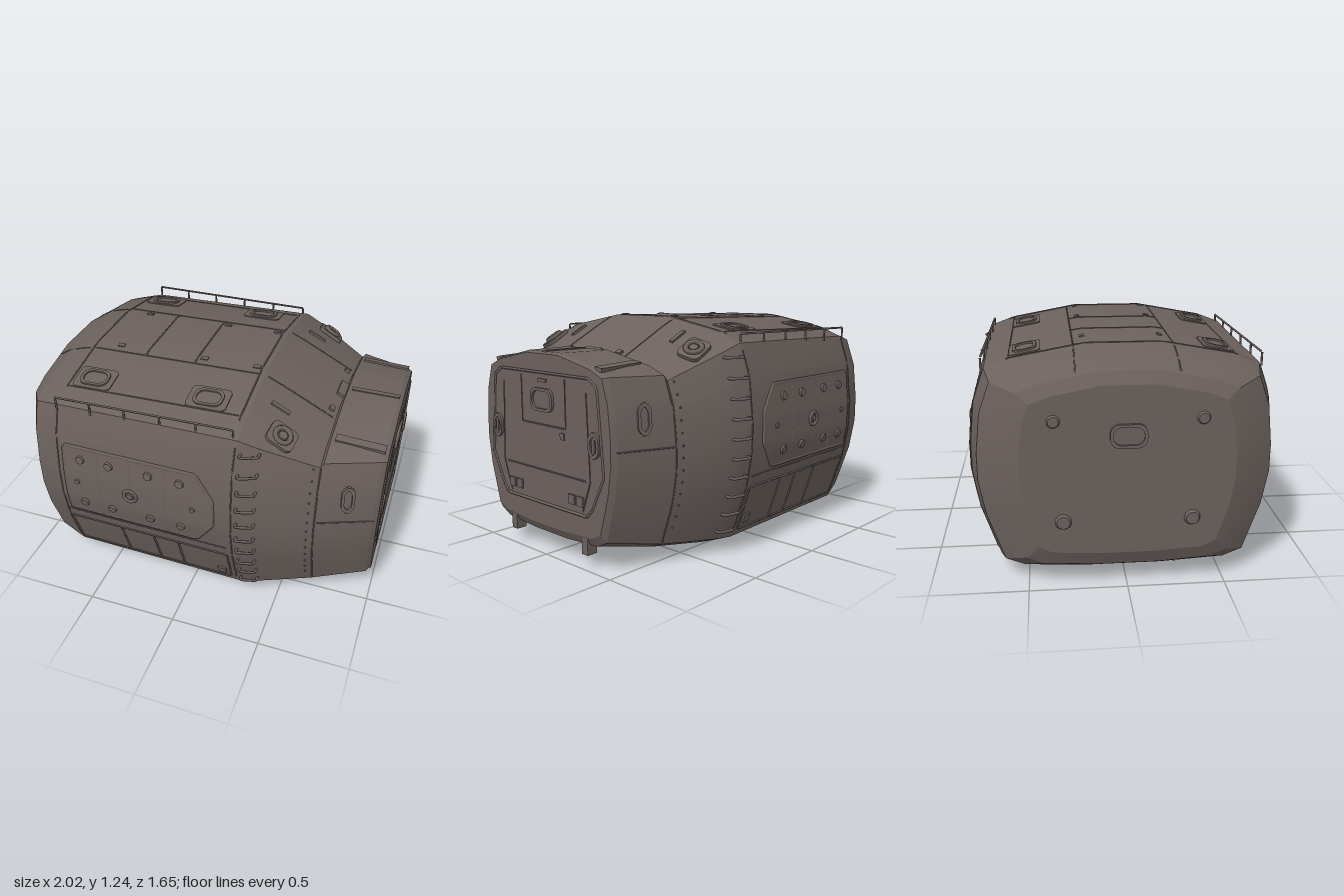
import * as THREE from 'three';
import { toCreasedNormals } from 'three/addons/utils/BufferGeometryUtils.js';

const V = (x, y, z) => new THREE.Vector3(x, y, z);

export function createModel() {
  const root = new THREE.Group();
  root.name = 'armouredCabin';
  const paint = new THREE.MeshStandardMaterial({ color: 0x6b615d });
  paint.name = 'brownGreyPaint';
  const add = (geo, name) => {
    const m = new THREE.Mesh(geo, paint);
    m.name = name;
    root.add(m);
    return m;
  };

  // Hull: one half outline [z, y] scaled along x: [x, half width, bottom, top]
  const half = [[.2, .01], [.56, .03], [.67, .075], [.765, .36], [.8, .56], [.8, .72],
    [.775, .95], [.715, 1.12], [.58, 1.17], [.2, 1.24]];
  const loop = [...half, ...half.map(([z, y]) => [-z, y]).reverse()];
  const stations = [[-1, .53, .2, 1.07], [-.965, .6, .12, 1.13], [-.88, .735, .07, 1.175],
    [-.73, .775, .02, 1.215], [.28, .793, .01, 1.235], [.38, .768, .02, 1.19],
    [.675, .645, .055, 1.045], [.69, .64, .058, 1.075], [.965, .53, .115, 1.075], [.99, .51, .16, 1.065]];
  const rings = stations.map(([x, w, lo, hi]) =>
    loop.map(([z, y]) => V(x, lo + (y - .01) / 1.23 * (hi - lo), z / .8 * w)));
  const pts = [];
  const n = loop.length;
  const last = rings.length - 1;
  for (let j = 0; j < n; j++) {
    const k = (j + 1) % n;
    for (let i = 0; i < last; i++) {
      const [a, b, c, d] = [rings[i][j], rings[i][k], rings[i + 1][k], rings[i + 1][j]];
      pts.push(a, d, c, a, c, b);
    }
    pts.push(V(-1, .63, 0), rings[0][j], rings[0][k]);
    pts.push(V(.99, .6, 0), rings[last][k], rings[last][j]);
  }
  const hull = add(toCreasedNormals(new THREE.BufferGeometry().setFromPoints(pts), .25), 'hull');

  // Find the hull surface by looking inward along an axis
  const ray = new THREE.Raycaster();
  const hit = (axis, s, u, v) => {
    const o = axis === 'z' ? V(u, v, 3 * s) : axis === 'y' ? V(u, 3 * s, v) : V(3 * s, v, u);
    const d = V(0, 0, 0);
    d[axis] = -s;
    ray.set(o, d);
    const h = ray.intersectObject(hull)[0];
    return { p: h.point, n: h.face.normal.clone() };
  };
  // Place a part on the hull with its own z pointing outward
  const place = (geo, name, axis, s, u, v) => {
    const { p, n: out } = hit(axis, s, u, v);
    const side = (axis === 'y' ? V(0, 0, 1) : V(0, 1, 0)).cross(out).normalize();
    const m = add(geo, name);
    m.quaternion.setFromRotationMatrix(new THREE.Matrix4().makeBasis(side, out.clone().cross(side), out));
    m.position.copy(p);
    return m;
  };
  const box = (w, h, d) => new THREE.BoxGeometry(w, h, d);
  const tube = (points, r, name) => {
    const path = new THREE.CurvePath();
    for (let i = 1; i < points.length; i++) path.add(new THREE.LineCurve3(points[i - 1], points[i]));
    return add(new THREE.TubeGeometry(path, points.length * 3, r, 5), name);
  };
  // Raised joint lines that follow the hull
  const seam = (axis, s, line, r = .004, name = 'panelSeam') => {
    const out = [];
    for (let i = 1; i < line.length; i++) {
      const [a, b] = [line[i - 1], line[i]];
      const steps = Math.max(2, Math.ceil(Math.hypot(b[0] - a[0], b[1] - a[1]) / .06));
      for (let k = i === 1 ? 0 : 1; k <= steps; k++) {
        const t = k / steps;
        out.push(hit(axis, s, a[0] + (b[0] - a[0]) * t, a[1] + (b[1] - a[1]) * t).p);
      }
    }
    tube(out, r, name);
  };

  // Rounded window: pad, frame with opening and a set-back pane
  const rounded = (w, h, r, Kind = THREE.Shape) => {
    const p = new Kind();
    [[1, 1, 0], [-1, 1, 1], [-1, -1, 2], [1, -1, 3]].forEach(([a, b, q]) =>
      p.absarc(a * (w / 2 - r), b * (h / 2 - r), r, q * Math.PI / 2, (q + 1) * Math.PI / 2));
    p.closePath();
    return p;
  };
  const extrude = (shape, depth) => new THREE.ExtrudeGeometry(shape, { depth, bevelEnabled: false, curveSegments: 5 });
  const windowAt = (axis, s, u, v, w, h, name, pad = true) => {
    const frame = rounded(w + .03, h + .03, .045);
    frame.holes.push(rounded(w, h, .04, THREE.Path));
    place(extrude(frame, .015), name + 'Frame', axis, s, u, v);
    place(extrude(rounded(w, h, .04), .003), name + 'Pane', axis, s, u, v);
    if (pad) place(extrude(rounded(w + .09, h + .07, .03), .006), name + 'Pad', axis, s, u, v);
  };
  const stud = (r, d) => new THREE.CylinderGeometry(r * .65, r, d, 14).rotateX(Math.PI / 2);

  // Roof and floor: windows and joints
  for (const s of [1, -1]) {
    for (const z of [-.49, .49]) for (const x of [-.6, .05]) windowAt('y', s, x, z, .13, .09, s > 0 ? 'roofWindow' : 'floorHatch');
    for (const z of [-.25, .25]) seam('y', s, [[-.95, z], [.66, z]]);
    for (const z of [-.57, .57]) seam('y', s, [[-.72, z], [.24, z]]);
    for (const x of [-.41, -.12]) seam('y', s, [[x, -.25], [x, .25]]);
    seam('y', s, [[.25, -.6], [.25, .6]]);
    seam('y', s, [[-.73, -.58], [-.73, .58]]);
    for (const z of [-.2, .2]) for (const x of [-.58, -.08, .22]) place(box(.04, .025, .012), 'roofLatch', 'y', s, x, z);
  }
  place(box(.045, .13, .03), 'roofHinge', 'y', 1, .655, 0);

  for (const s of [1, -1]) {
    // Riveted side panel laid over the bulging wall
    const left = -.69, lo = .45, hi = .89;
    const right = y => .17 - Math.max(0, Math.abs(y - .67) - .08) * .7;
    const geo = new THREE.PlaneGeometry(1, 1, 10, 12);
    const pos = geo.attributes.position;
    for (let i = 0; i < pos.count; i++) {
      const y = lo + (pos.getY(i) + .5) * (hi - lo);
      const t = (pos.getX(i) + .5);
      const h = hit('z', s, left + (s > 0 ? t : 1 - t) * (right(y) - left), y);
      h.p.addScaledVector(h.n, .009);
      pos.setXYZ(i, h.p.x, h.p.y, h.p.z);
    }
    geo.computeVertexNormals();
    add(geo, 'sidePanel');
    seam('z', s, [[left, lo], [right(lo), lo], [.17, .59], [.17, .75], [right(hi), hi], [left, hi], [left, lo]], .012, 'sidePanelRim');
    for (const x of [-.49, -.3, -.1]) seam('z', s, [[x, lo], [x, hi]], .0115);
    for (const x of [-.59, -.42, -.19, -.01]) for (const y of [.53, .82]) place(stud(.034, .04), 'panelStud', 'z', s, x, y);
    for (const x of [-.62, .06]) place(stud(.022, .034), 'panelStud', 'z', s, x, .67);
    place(stud(.026, .04), 'panelHub', 'z', s, -.3, .66);
    place(new THREE.TorusGeometry(.036, .01, 6, 18), 'panelHubRing', 'z', s, -.3, .66).translateZ(.012);

    // Lower wall panels and upright joints
    seam('z', s, [[-.72, .36], [.24, .36], [.24, .11], [-.72, .11], [-.72, .36]], .006);
    seam('z', s, [[-.72, .42], [.24, .42]]);
    for (const x of [-.4, -.2, -.05]) seam('z', s, [[x, .11], [x, .36]], .006);
    for (const x of [-.73, .27, .68]) seam('z', s, [[x, .12], [x, x > .6 ? .95 : 1.08]]);
    seam('z', s, [[.69, .63], [.97, .63]]);
    place(box(.05, .05, .02), 'lowerLatch', 'z', s, .19, .17);
    for (let i = 0; i < 13; i++) place(stud(.007, .012), 'rivet', 'z', s, .645, .2 + i * .062);

    // Ladder rungs
    for (let i = 0; i < 10; i++) {
      const y = .13 + i * .102;
      const a = hit('z', s, .3, y).p, b = hit('z', s, .39, y).p;
      const out = V(0, 0, s * .03);
      tube([a, a.clone().add(out), b.clone().add(out), b], .008, 'ladderRung');
    }

    // Roof-edge handrail
    tube([V(-.73, 1.15, s * .705), V(.25, 1.16, s * .69)], .006, 'handrail');
    for (let i = 0; i < 6; i++) {
      const x = -.73 + i * .196;
      const z = s * (.705 - i * .003);
      tube([V(x, 1.08, z), V(x, 1.15 + i * .002, z)], .006, 'handrailPost');
    }

    // Sloping roof: lamps and hooks
    place(extrude(rounded(.15, .13, .03), .02), 'lampBase', 'y', 1, .46, s * .56);
    place(new THREE.TorusGeometry(.042, .014, 6, 18), 'lampRing', 'y', 1, .46, s * .56).translateZ(.026);
    place(stud(.035, .03), 'lampLens', 'y', 1, .46, s * .56).translateZ(.015);
    place(box(.11, .022, .022), 'roofHook', 'y', 1, .41, s * .4);
    place(box(.03, .03, .03), 'roofHook', 'y', 1, .64, s * .2);

    // Nose: side slot, roof pads, door handles, steps and tow brackets
    windowAt('z', s, .83, .78, .04, .13, 'noseSlot', false);
    place(box(.26, .045, .02), 'nosePad', 'y', 1, .84, s * .41);
    windowAt('x', 1, s * .4, .65, .045, .1, 'doorHandleRecess', false);
    place(box(.02, .08, .03), 'doorHandle', 'x', 1, s * .4, .65);
    for (const z of [.22, .285]) place(box(.045, .05, .02), 'doorLock', 'x', 1, s * z, .35);
    const tow = add(box(.06, .09, .045), 'towBracket');
    tow.position.set(.955, .12, s * .3);

    // Rear wall bosses
    place(stud(.05, .03), 'rearBoss', 'x', -1, s * .32, .38);
    place(stud(.04, .025), 'rearBoss', 'x', -1, s * .36, .9);
  }

  // Nose door
  place(box(.26, .03, .012), 'nosePad', 'y', 1, .84, 0);
  seam('x', 1, [[-.33, .28], [.33, .28], [.37, .32], [.46, .5], [.42, .93], [.36, .97],
    [-.36, .97], [-.42, .93], [-.46, .5], [-.37, .32], [-.33, .28]], .008, 'doorRim');
  seam('x', 1, [[-.33, .46], [.33, .46]]);
  seam('x', 1, [[-.18, .7], [.18, .7]]);
  for (const s of [1, -1]) {
    seam('x', 1, [[s * .18, .7], [s * .18, .95]]);
    seam('x', 1, [[s * .3, .3], [s * .36, .46], [s * .34, .9]]);
  }
  windowAt('x', 1, 0, .83, .15, .09, 'doorWindow', false);
  place(box(.07, .018, .015), 'doorGrip', 'x', 1, 0, .93);
  place(box(.03, .035, .015), 'doorCatch', 'x', 1, -.155, .66);
  windowAt('x', -1, 0, .82, .15, .09, 'rearWindow', false);
  return root;
}
